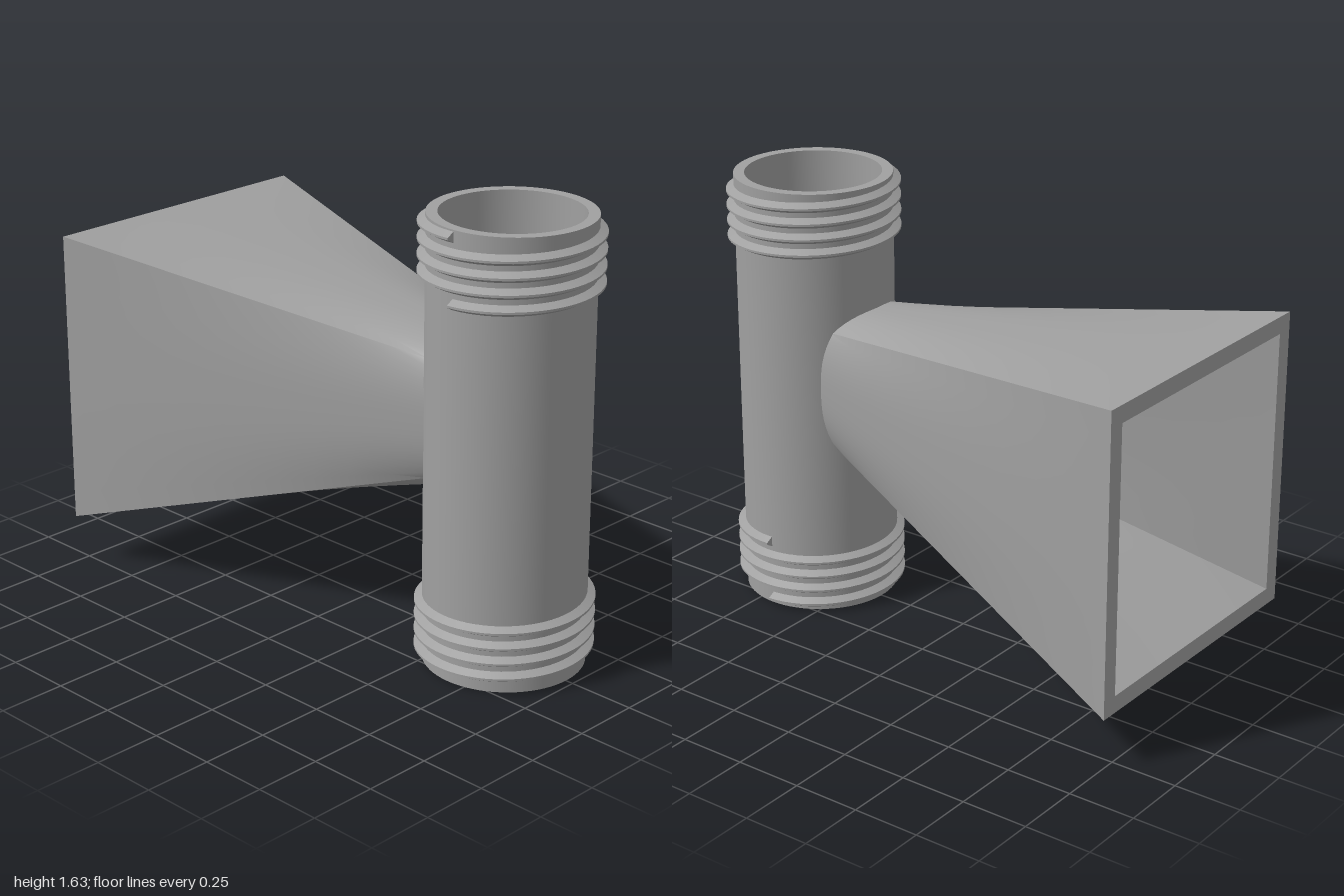
import * as THREE from 'three';
import { toCreasedNormals } from 'three/addons/utils/BufferGeometryUtils.js';

const HEIGHT = 1.635, TUBE_Z = 0.68, OUTER = 0.29, INNER = 0.25;

// Skin a list of closed cross-sections (arrays of Vector3).
function loft(rows, crease) {
  const n = rows[0].length, index = [];
  for (let i = 0; i < rows.length - 1; i++) {
    for (let j = 0; j < n; j++) {
      const k = (j + 1) % n;
      const a = i * n + j, b = i * n + k, c = a + n, d = b + n;
      index.push(a, c, b, b, c, d);
    }
  }
  const geo = new THREE.BufferGeometry().setFromPoints(rows.flat());
  geo.setIndex(index);
  return toCreasedNormals(geo, crease);
}

// Hollow pipe with flat rims.
function tubeGeometry() {
  const profile = [[INNER, 0], [OUTER, 0], [OUTER, HEIGHT], [INNER, HEIGHT], [INNER, 0]]
    .map(([r, y]) => new THREE.Vector2(r, y));
  return toCreasedNormals(new THREE.LatheGeometry(profile, 72), 0.6);
}

// Four turns of a ridge, closed at both ends.
function threadGeometry() {
  const turns = 4, pitch = 0.0575, steps = turns * 60;
  const profile = [[0.28, -0.025], [0.318, -0.004], [0.318, 0.004], [0.28, 0.025]];
  const at = (i, r, y) => {
    const a = (i / steps) * turns * Math.PI * 2;
    return new THREE.Vector3(r * Math.cos(a), 0.025 + y + (i / steps) * turns * pitch, -r * Math.sin(a));
  };
  const rows = [profile.map(() => at(0, 0.295, 0))];
  for (let i = 0; i <= steps; i++) rows.push(profile.map(([r, y]) => at(i, r, y)));
  rows.push(profile.map(() => at(steps, 0.295, 0)));
  return loft(rows, 0.3);
}

// Point on the horn wall: t = 0 at the square mouth, t = 1 inside the tube.
function hornPoint(angle, t, wall) {
  const c = Math.cos(angle), s = Math.sin(angle), n = 2.7;
  const square = 1 / Math.max(Math.abs(c), Math.abs(s));
  const round = 1 / Math.pow(Math.abs(c) ** n + Math.abs(s) ** n, 1 / n);
  const mix = THREE.MathUtils.lerp;
  return new THREE.Vector3(
    mix(c * square * (0.557 - wall), c * round * (0.2 - wall * 0.8), t),
    mix(0.7425, 0.895, t) + mix(s * square * (0.557 - wall), s * round * (0.26 - wall * 0.8), t),
    mix(-1, 0.55, t));
}

// Square mouth narrowing to a rounded neck, trimmed to the tube wall.
function hornGeometry() {
  const sides = 64, steps = 10;
  const trim = (angle, wall) => {
    let lo = 0, hi = 1;
    for (let i = 0; i < 25; i++) {
      const m = (lo + hi) / 2, p = hornPoint(angle, m, wall);
      if (Math.hypot(p.x, p.z - TUBE_Z) > 0.275) lo = m; else hi = m;
    }
    return lo;
  };
  const ring = (f, wall) => Array.from({ length: sides }, (_, j) => {
    const angle = (j / sides) * Math.PI * 2;
    return hornPoint(angle, f * trim(angle, wall), wall);
  });
  const rows = [];
  for (let i = steps; i >= 0; i--) rows.push(ring(i / steps, 0));
  for (let i = 0; i <= steps; i++) rows.push(ring(i / steps, 0.064));
  return loft(rows, 0.45);
}

export function createModel() {
  const model = new THREE.Group();
  model.name = 'threadedPipeWithHorn';
  const grey = new THREE.MeshStandardMaterial({ color: 0xa0a0a0 });
  grey.name = 'grey';
  const add = (name, geo) => {
    const mesh = new THREE.Mesh(geo, grey);
    mesh.name = name;
    model.add(mesh);
    return mesh;
  };

  add('tube', tubeGeometry()).position.z = TUBE_Z;
  add('horn', hornGeometry());

  // The upper thread is the lower one turned end over end.
  const thread = threadGeometry();
  add('lowerThread', thread).position.z = TUBE_Z;
  const upper = add('upperThread', thread);
  upper.position.set(0, HEIGHT, TUBE_Z);
  upper.rotation.z = Math.PI;

  return model;
}
